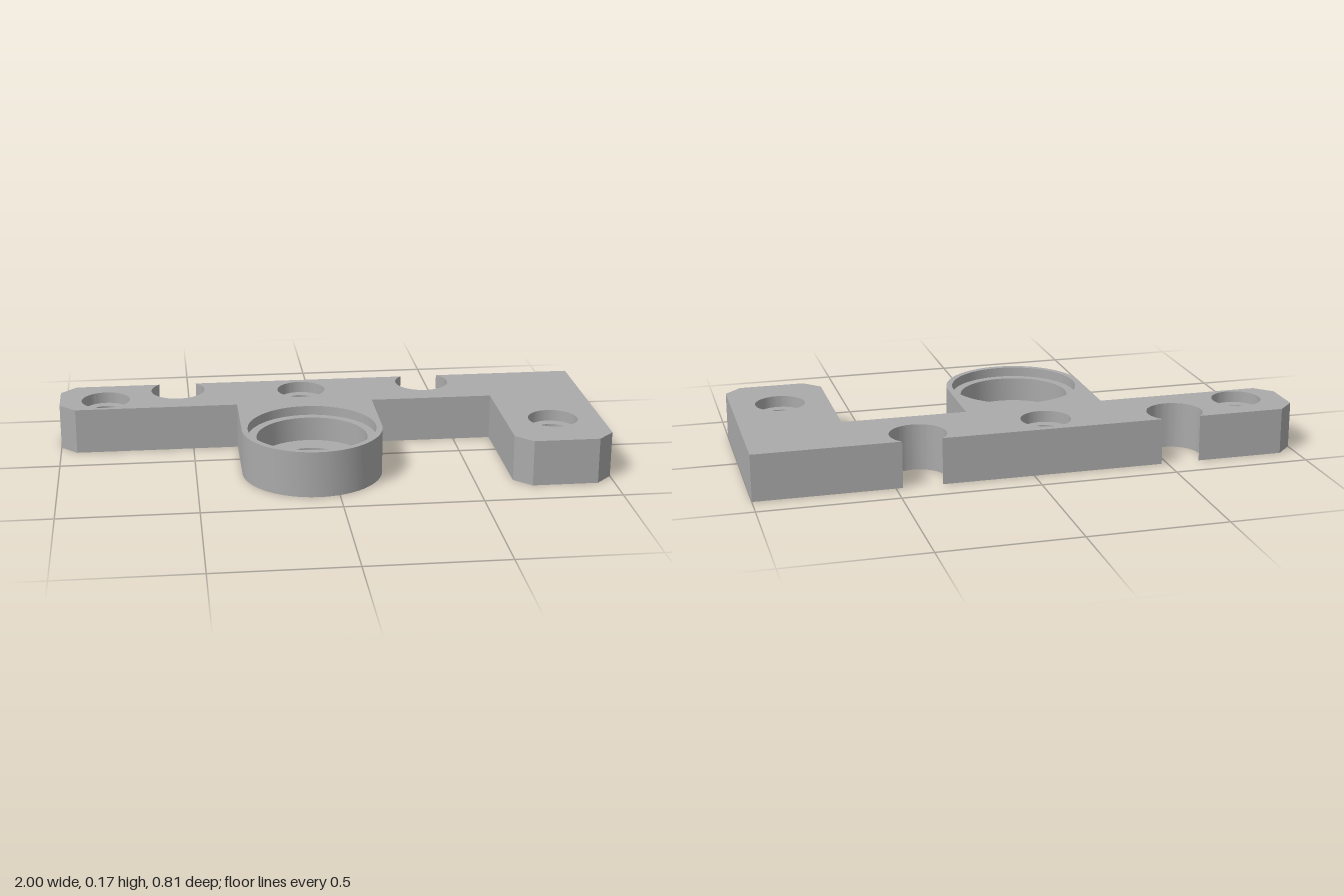
import * as THREE from 'three';
import { toCreasedNormals } from 'three/addons/utils/BufferGeometryUtils.js';

const THICK = 0.17, BACK = -0.403, EDGE = -0.134;
const BOSS = { x: -0.075, z: 0.146, r: 0.257 };
const SEGMENTS = 32;

// Shapes are drawn as (x, z); the solid runs from height `bottom` to `top`.
function slab(shape, bottom, top) {
  const geo = new THREE.ExtrudeGeometry(shape, {
    depth: top - bottom, bevelEnabled: false, curveSegments: SEGMENTS,
  });
  geo.rotateX(Math.PI / 2).translate(0, top, 0);
  return toCreasedNormals(geo, 0.5);
}

function circle(Type, x, z, r) {
  return new Type().absarc(x, z, r, 0, Math.PI * 2, false);
}

function ring(x, z, outer, inner) {
  const shape = circle(THREE.Shape, x, z, outer);
  shape.holes.push(circle(THREE.Path, x, z, inner));
  return shape;
}

// Plate outline with chamfered ends, rounded lug and two open notches
function outline() {
  const s = new THREE.Shape();
  const lines = (pts) => pts.forEach(([x, z]) => s.lineTo(x, z));
  s.moveTo(-1, -0.194);
  lines([[-0.94, EDGE], [BOSS.x - BOSS.r, EDGE], [BOSS.x - BOSS.r, BOSS.z]]);
  s.absarc(BOSS.x, BOSS.z, BOSS.r, Math.PI, 0, true);
  lines([[BOSS.x + BOSS.r, EDGE], [0.64, EDGE], [0.64, 0.317], [0.70, 0.377],
    [0.94, 0.377], [1, 0.317], [1, BACK]]);
  const r = 0.102, z = -0.33, a = Math.asin((z - BACK) / r);
  for (const x of [0.404, -0.55]) {
    s.lineTo(x + r * Math.cos(a), BACK);
    s.absarc(x, z, r, -a, Math.PI + a, false);
  }
  lines([[-0.94, BACK], [-1, BACK + 0.06]]);
  s.closePath();
  return s;
}

export function createModel() {
  const group = new THREE.Group();
  const grey = new THREE.MeshStandardMaterial({ color: 0xaaaaaa });
  grey.name = 'machined grey';

  const add = (name, geo) => {
    const mesh = new THREE.Mesh(geo, grey);
    mesh.name = name;
    group.add(mesh);
  };

  // Plate, bored at the widest diameter of every hole
  const screws = [[-0.827, -0.24], [-0.075, -0.287], [0.82, 0.145]];
  const plate = outline();
  for (const [x, z] of screws) plate.holes.push(circle(THREE.Path, x, z, 0.091));
  plate.holes.push(circle(THREE.Path, BOSS.x, BOSS.z, 0.235));
  add('mountingPlate', slab(plate, 0, THICK));

  // Counterbore seats around the screw holes
  screws.forEach(([x, z], i) =>
    add(`screwSeat${i + 1}`, slab(ring(x, z, 0.091, 0.054), 0, 0.128)));

  // Stepped bearing pocket in the lug
  add('bearingStep', slab(ring(BOSS.x, BOSS.z, 0.235, 0.203), 0, 0.135));
  add('bearingFloor', slab(ring(BOSS.x, BOSS.z, 0.203, 0.118), 0, 0.045));

  return group;
}
